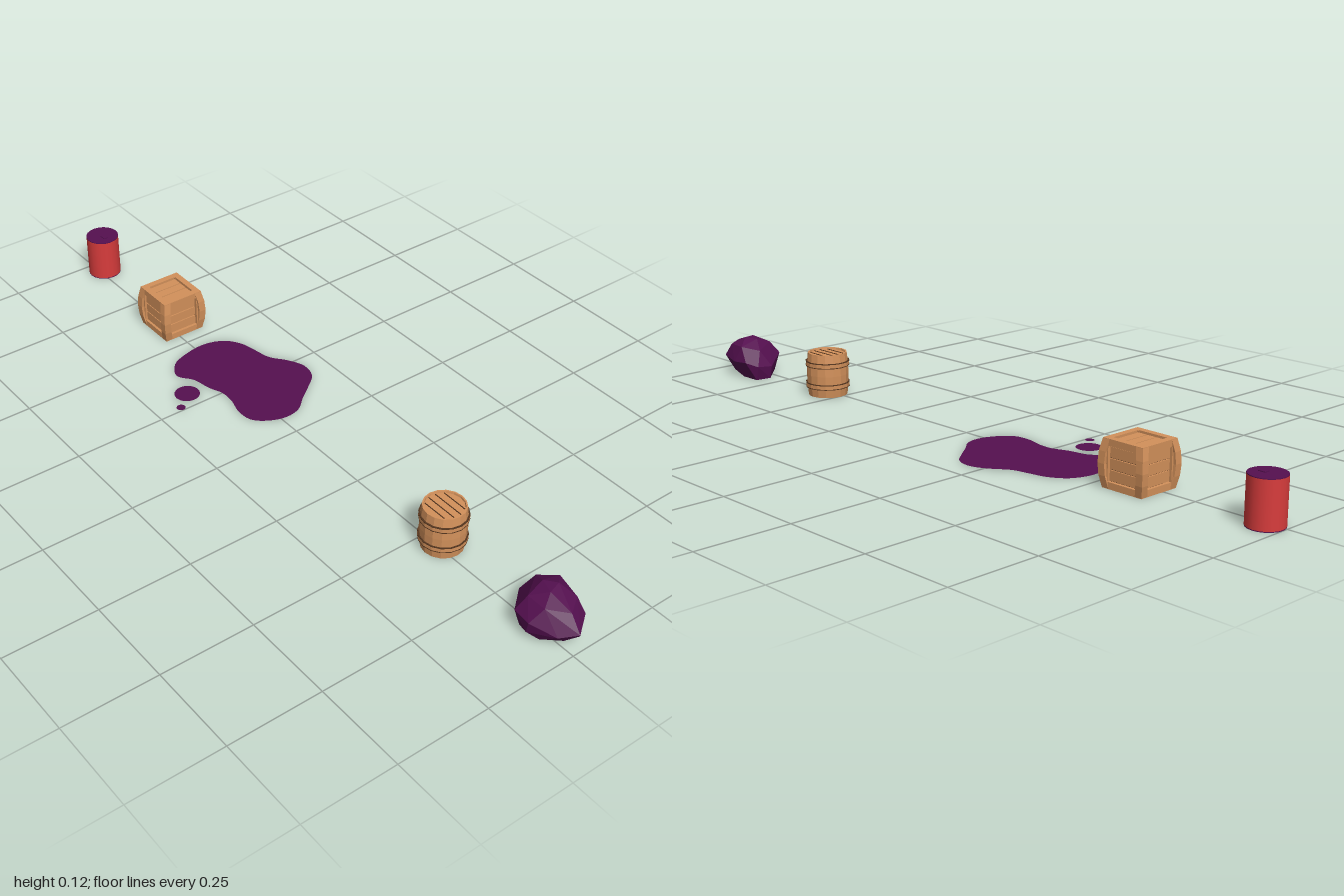
import * as THREE from 'three';
import { ConvexGeometry } from 'three/addons/geometries/ConvexGeometry.js';

const material = (name, color) => Object.assign(new THREE.MeshStandardMaterial({ color }), { name });

export function createModel() {
  const wood = material('wood', 0xd3915b);
  const gap = material('darkWoodGap', 0x55361f);
  const red = material('redPaint', 0xd83c3c);
  const purple = material('purple', 0x551050);
  purple.side = THREE.DoubleSide;
  wood.flatShading = true;

  const model = new THREE.Group();
  const group = (name, x, z, parent = model) => {
    const g = new THREE.Group();
    g.name = name;
    g.position.set(x, 0, z);
    parent.add(g);
    return g;
  };
  const add = (parent, name, geometry, mat, x = 0, y = 0, z = 0) => {
    const m = new THREE.Mesh(geometry, mat);
    m.name = name;
    m.position.set(x, y, z);
    parent.add(m);
    return m;
  };
  const box = (w, h, d) => new THREE.BoxGeometry(w, h, d);
  const disc = (r, h, n = 16) => new THREE.CylinderGeometry(r, r, h, n);

  // Rock: faceted hull over stacked outlines [x, y, z]
  const rockPoints = [
    [0.03, 0, 0.80], [0.075, 0, 0.805], [0.08, 0.002, 0.86], [0.055, 0.005, 0.94],
    [0.012, 0.006, 0.958], [-0.028, 0.005, 0.92], [-0.03, 0.005, 0.86],
    [0.026, 0.035, 0.797], [0.075, 0.04, 0.795], [0.097, 0.05, 0.825], [0.098, 0.046, 0.88],
    [0.076, 0.05, 0.955], [0.016, 0.052, 0.998], [0.03, 0.03, 0.985], [-0.02, 0.04, 0.967],
    [-0.053, 0.058, 0.907], [-0.05, 0.025, 0.9], [-0.045, 0.055, 0.855],
    [0.05, 0.08, 0.82], [0.085, 0.09, 0.86], [0.07, 0.086, 0.93], [0.022, 0.087, 0.962],
    [-0.02, 0.092, 0.92], [-0.018, 0.09, 0.865],
    [0.05, 0.109, 0.89], [0.015, 0.108, 0.9], [0.03, 0.106, 0.86],
  ].map(p => new THREE.Vector3(...p));
  const rock = add(model, 'rock', new ConvexGeometry(rockPoints), purple);
  rock.geometry.computeVertexNormals();

  // Barrel: bulging faceted body, two hoops, planked lids
  const barrel = group('barrel', 0.015, 0.55);
  const profile = [
    [0, 0.005], [0.049, 0.005], [0.05, 0], [0.054, 0], [0.057, 0.025], [0.058, 0.06],
    [0.057, 0.095], [0.054, 0.12], [0.05, 0.12], [0.049, 0.115], [0, 0.115],
  ].map(p => new THREE.Vector2(...p));
  add(barrel, 'barrelBody', new THREE.LatheGeometry(profile, 16), wood);
  for (const y of [0.03, 0.09]) {
    add(barrel, 'hoop', disc(0.0605, 0.01), wood, 0, y);
    for (const s of [-1, 1]) add(barrel, 'hoopEdge', disc(0.061, 0.002), gap, 0, y + s * 0.006);
  }
  for (const y of [0.0045, 0.1155]) {
    for (const x of [-0.03, -0.01, 0.01, 0.03]) {
      const length = 2 * Math.sqrt(0.047 ** 2 - x * x);
      add(barrel, 'lidSeam', box(0.002, 0.002, length), gap, x, y);
    }
  }

  // Crate: dark core, planked frames on six faces, bowed corner posts
  const crate = group('crate', 0.016, -0.597);
  const body = group('crateBody', 0, 0, crate);
  body.position.y = 0.06;
  add(body, 'crateCore', box(0.102, 0.102, 0.102), gap);
  const faceTurns = [
    [0, 0], [0, Math.PI / 2], [0, Math.PI], [0, -Math.PI / 2], [Math.PI / 2, 0], [-Math.PI / 2, 0],
  ];
  for (const [rx, ry] of faceTurns) {
    const face = group('crateFace', 0, 0, body);
    face.rotation.set(rx, ry, 0);
    for (const y of [-0.028, 0, 0.028]) add(face, 'plank', box(0.082, 0.0255, 0.008), wood, 0, y, 0.051);
    for (const s of [-1, 1]) {
      add(face, 'frameRail', box(0.12, 0.017, 0.011), wood, 0, s * 0.0515, 0.0545);
      add(face, 'frameStile', box(0.017, 0.088, 0.011), wood, s * 0.0515, 0, 0.0545);
    }
  }
  for (const sx of [-1, 1]) for (const sz of [-1, 1]) {
    const post = box(0.02, 0.118, 0.02).toNonIndexed();
    post.dispose();
    const bowed = new THREE.BoxGeometry(0.02, 0.118, 0.02, 1, 4, 1);
    const p = bowed.attributes.position;
    for (let i = 0; i < p.count; i++) {
      const bow = 0.008 * (1 - (p.getY(i) / 0.059) ** 2);
      p.setX(i, p.getX(i) + sx * bow);
      p.setZ(i, p.getZ(i) + sz * bow);
    }
    bowed.computeVertexNormals();
    add(body, 'cornerPost', bowed, wood, sx * 0.05, 0, sz * 0.05);
  }

  // Can: red wall with purple ends and a small pull tab
  const can = group('can', 0.015, -0.954);
  add(can, 'canWall', new THREE.CylinderGeometry(0.046, 0.046, 0.116, 20, 1, true), red, 0, 0.06);
  for (const y of [0.001, 0.119]) add(can, 'canEnd', disc(0.046, 0.002, 20), purple, 0, y);
  add(can, 'pullTab', box(0.014, 0.003, 0.02), purple, 0, 0.1205, 0.012);

  // Puddle: flat smooth blob with two drops
  const outline = [
    [-0.085, -0.433], [-0.042, -0.453], [0.03, -0.463], [0.085, -0.443], [0.116, -0.4],
    [0.127, -0.353], [0.138, -0.305], [0.169, -0.263], [0.19, -0.215], [0.18, -0.168],
    [0.138, -0.131], [0.095, -0.099], [0.06, -0.07], [0.016, -0.062], [-0.032, -0.078],
    [-0.066, -0.11], [-0.071, -0.157], [-0.059, -0.205], [-0.058, -0.247], [-0.074, -0.29],
    [-0.085, -0.342], [-0.112, -0.385],
  ].map(([x, z]) => new THREE.Vector3(x, -z, 0));
  const blob = new THREE.Shape(new THREE.CatmullRomCurve3(outline, true).getPoints(88)
    .map(v => new THREE.Vector2(v.x, v.y)));
  const flat = (name, geometry, x = 0, z = 0) => {
    add(model, name, geometry, purple, x, 0.001, z).rotation.x = -Math.PI / 2;
  };
  flat('puddle', new THREE.ShapeGeometry(blob));
  flat('largeDrop', new THREE.CircleGeometry(0.034, 24), -0.134, -0.303);
  flat('smallDrop', new THREE.CircleGeometry(0.012, 16), -0.181, -0.262);

  return model;
}
